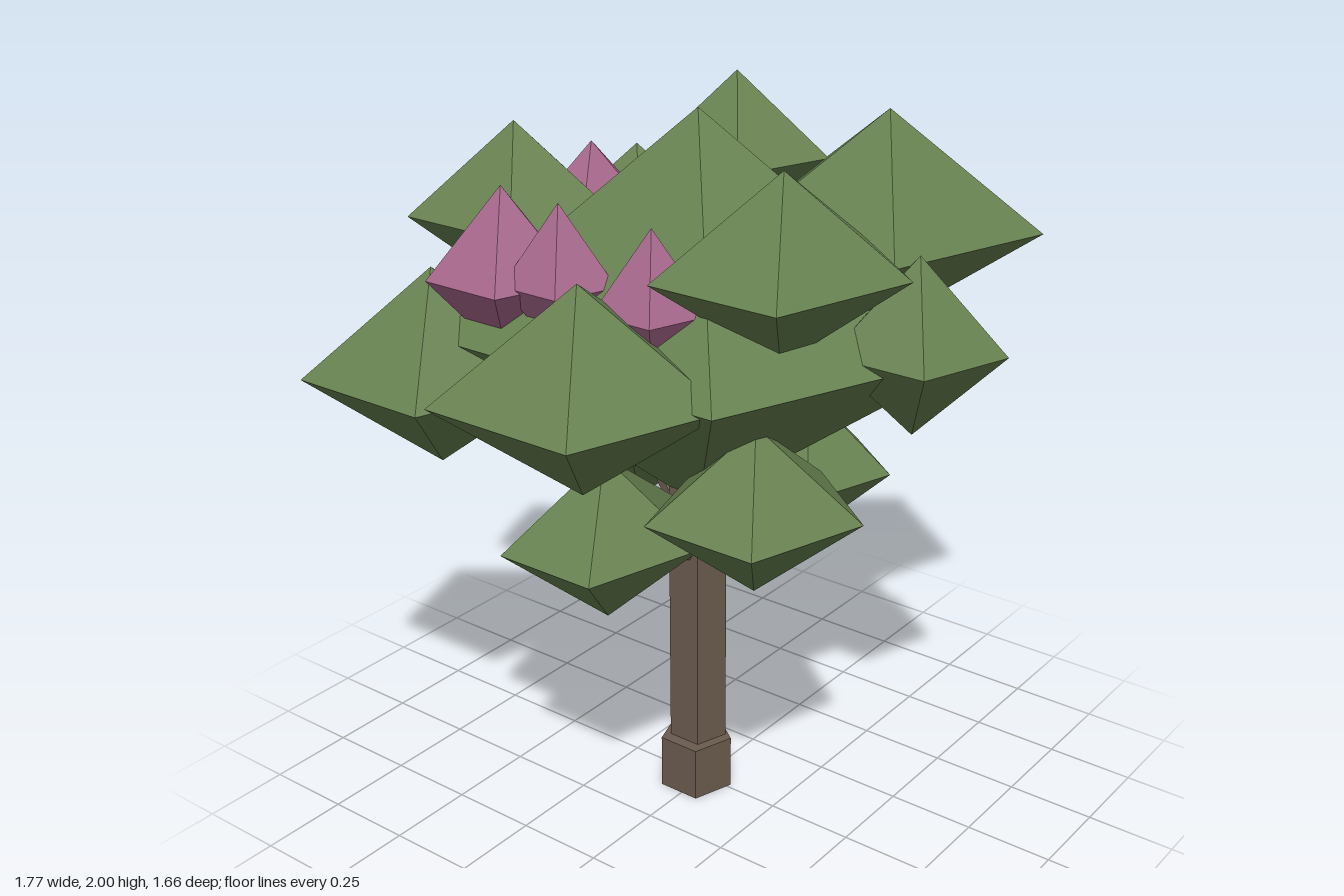
import * as THREE from 'three';

const paint = (color) => new THREE.MeshStandardMaterial({ color, flatShading: true });

export function createModel() {
  const tree = new THREE.Group();
  const bark = paint(0x6b5b4e);
  const leaf = paint(0x66804f);
  const petal = paint(0xa5668a);

  const add = (name, geometry, material, parent = tree) => {
    const mesh = new THREE.Mesh(geometry, material);
    mesh.name = name;
    parent.add(mesh);
    return mesh;
  };

  // Five-sided trunk and its wider foot
  const prism = (name, r, y0, y1, x, z) => {
    const geometry = new THREE.CylinderGeometry(r, r, y1 - y0, 5, 1, false, Math.PI / 2);
    add(name, geometry, bark).position.set(x, (y0 + y1) / 2, z);
  };
  prism('trunkFoot', 0.105, 0, 0.16, -0.02, -0.01);
  prism('trunk', 0.083, 0.14, 1.1, -0.005, -0.015);

  // Branches run from the trunk into the lower foliage
  const branches = new THREE.Group();
  branches.name = 'branches';
  tree.add(branches);
  const up = new THREE.Vector3(0, 1, 0);
  const branch = (from, to) => {
    const a = new THREE.Vector3(...from);
    const b = new THREE.Vector3(...to);
    const dir = b.clone().sub(a);
    const mesh = add('branch', new THREE.CylinderGeometry(0.025, 0.032, dir.length(), 5), bark, branches);
    mesh.position.copy(a).add(b).multiplyScalar(0.5);
    mesh.quaternion.setFromUnitVectors(up, dir.normalize());
  };
  branch([0, 0.74, 0], [-0.36, 0.94, -0.02]);
  branch([0, 0.74, 0], [0.29, 0.94, 0.12]);
  branch([0, 0.76, -0.02], [0.13, 1.0, -0.32]);
  branch([0, 0.8, 0], [-0.2, 1.02, 0.3]);

  // Foliage and blossom clumps: five-sided double pyramids with a corner at +x
  const clumpGeometry = new THREE.SphereGeometry(1, 5, 2, Math.PI);
  const clumps = (name, material, list) => {
    const group = new THREE.Group();
    group.name = name;
    tree.add(group);
    for (const [x, y, z, rx, ry, rz = rx] of list) {
      const mesh = add(name + 'Clump', clumpGeometry, material, group);
      mesh.position.set(x, y, z);
      mesh.scale.set(rx, ry, rz);
    }
  };

  clumps('crown', leaf, [[-0.01, 1.44, -0.01, 0.68, 0.55, 0.78]]);

  clumps('upperFoliage', leaf, [
    [0.45, 1.64, 0.27, 0.435, 0.3, 0.42],
    [-0.22, 1.7, 0.4, 0.35, 0.24, 0.31],
    [0.36, 1.78, -0.16, 0.255, 0.22, 0.265],
    [-0.15, 1.67, -0.51, 0.28, 0.24, 0.31],
    [0.345, 1.51, -0.5, 0.27, 0.24, 0.32],
    [-0.49, 1.33, -0.5, 0.35, 0.27],
    [-0.59, 1.43, 0.08, 0.37, 0.27],
    [0.06, 1.47, 0.61, 0.23, 0.235],
  ]);

  clumps('lowerFoliage', leaf, [
    [0.31, 0.935, 0.13, 0.25, 0.225, 0.24],
    [-0.39, 0.935, -0.02, 0.3, 0.23, 0.25],
    [-0.22, 1.05, 0.33, 0.3, 0.23, 0.28],
    [0.14, 0.99, -0.34, 0.29, 0.22],
  ]);

  clumps('blossom', petal, [
    [-0.42, 1.6, -0.31, 0.2, 0.23],
    [-0.4, 1.61, -0.14, 0.15, 0.2],
    [-0.4, 1.6, 0.15, 0.15, 0.2],
    [0.02, 1.61, -0.39, 0.24, 0.23, 0.2],
  ]);

  return tree;
}
